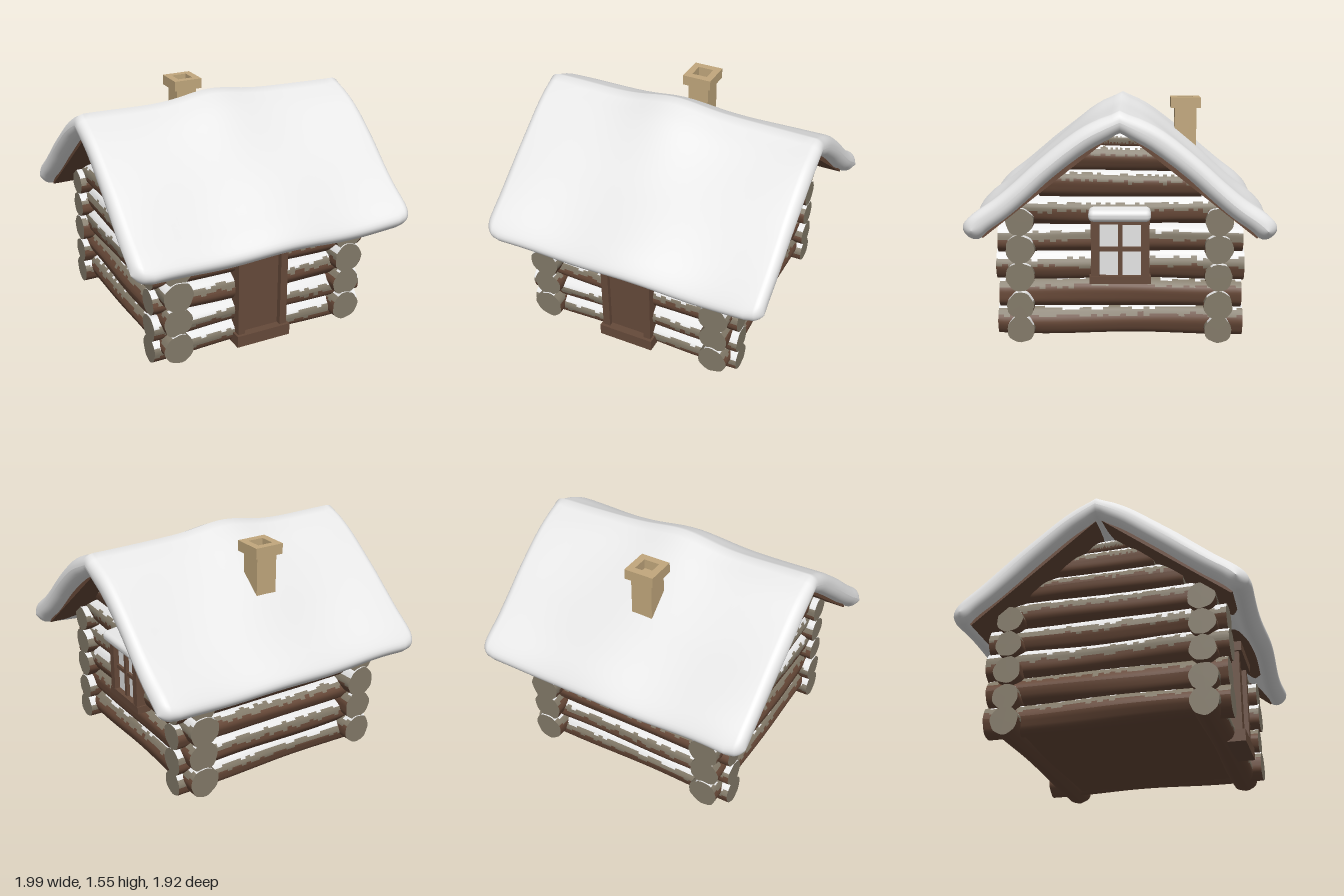
import * as THREE from 'three';
import { RoundedBoxGeometry } from 'three/addons/geometries/RoundedBoxGeometry.js';

const mat = (name, color) => {
  const m = new THREE.MeshStandardMaterial({ color });
  m.name = name;
  return m;
};

let seed = 7;
const rand = () => (seed = (seed * 16807) % 2147483647) / 2147483647;

// Log lying along x: bark below, a ragged weathered band, snow on top
function logGeometry(length, r, shift) {
  const RS = 40, HS = 42;
  const geo = new THREE.CylinderGeometry(r, r, length, RS, HS);
  geo.rotateZ(Math.PI / 2);
  const pos = geo.attributes.position;
  const p1 = rand() * 6, p2 = rand() * 6;
  for (let i = 0; i < pos.count; i++) {
    const x = pos.getX(i), y = pos.getY(i), z = pos.getZ(i);
    const a = Math.atan2(y, z);
    const k = 1 + 0.035 * Math.sin(x * 6 + p1) + 0.03 * Math.sin(3 * a + p2 + x * 2) + 0.02 * Math.sin(7 * a + p1);
    pos.setXYZ(i, x, y * k + 0.006 * Math.sin(x * 4 + p2), z * k);
  }
  geo.computeVertexNormals();

  const index = Array.from(geo.index.array);
  const sets = [[], [], []];
  const jag = Array.from({ length: HS }, () => [(rand() - 0.5) * 0.28, (rand() - 0.5) * 0.2]);
  for (let c = 0; c < RS * HS; c++) {
    const up = Math.sin(((Math.floor(c / HS) + 0.5) / RS) * Math.PI * 2);
    const [a, b] = jag[c % HS];
    const kind = up > 0.42 + shift * 0.75 + b ? 2 : up > -0.1 + shift + a ? 1 : 0;
    sets[kind].push(...index.slice(c * 6, c * 6 + 6));
  }
  sets[1].push(...index.slice(RS * HS * 6)); // sawn ends
  geo.setIndex(sets.flat());
  geo.clearGroups();
  let start = 0;
  sets.forEach((s, i) => { geo.addGroup(start, s.length, i); start += s.length; });
  return geo;
}

// Thick snow blanket: a bent slab with rounded rims, swept along x
function snowRoofGeometry() {
  const half = new THREE.SplineCurve([
    [0, 1.425], [0.12, 1.365], [0.24, 1.29], [0.45, 1.125], [0.58, 1.01], [0.71, 0.9], [0.84, 0.803], [0.925, 0.71],
  ].map(([z, y]) => new THREE.Vector2(z, y)));
  const N = 56, stations = [];
  for (let i = 0; i <= 7; i++) {
    const a = (i / 8) * Math.PI / 2 - Math.PI / 2;
    stations.push([-0.93 + 0.065 * Math.sin(a), Math.cos(a)]);
  }
  for (let i = 0; i <= 36; i++) stations.push([-0.93 + (1.85 * i) / 36, 1]);
  for (let i = 1; i <= 8; i++) {
    const a = (i / 8) * Math.PI / 2;
    stations.push([0.92 + 0.065 * Math.sin(a), Math.cos(a)]);
  }
  const verts = [], idx = [], ring = 2 * N;
  for (const [x, c] of stations) {
    // the eave corners are rounded in plan
    const corner = Math.max(0, (Math.abs(x) - 0.82) / 0.17);
    const reach = 1 - 0.09 * corner ** 3;
    for (let j = 0; j < ring; j++) {
      const top = j <= N;
      const u = Math.sin((top ? j / N - 0.5 : 1.5 - j / N) * Math.PI);
      const au = Math.abs(u), s = Math.sign(u);
      const p = half.getPoint(au * reach), t = half.getTangent(au * reach);
      const e = Math.max(0, (au - 0.92) / 0.08);
      const h = 0.068 * c * Math.sqrt(Math.max(0, 1 - e * e)) * (top ? 1 : -1);
      const apex = au < 0.01;
      let y = p.y + h * (apex ? 1 : t.x);
      let z = s * (p.x - h * t.y * Math.min(1, au * 8));
      // drifted bumps
      if (top) y += 0.05 * c * Math.exp(-(((x + 0.05) / 0.25) ** 2)) * Math.exp(-((z / 0.35) ** 2));
      y += 0.01 * Math.sin(x * 7 + 1) * au + 0.005 * Math.sin(x * 5 + z * 9);
      z += s * 0.008 * Math.cos(x * 6) * au;
      verts.push(x + 0.006 * Math.sin(z * 6) * (1 - c), y, z);
    }
  }
  for (let i = 0; i < stations.length - 1; i++) {
    for (let j = 0; j < ring; j++) {
      const k = (j + 1) % ring, a = i * ring, b = a + ring;
      idx.push(a + j, a + k, b + j, a + k, b + k, b + j);
    }
  }
  const geo = new THREE.BufferGeometry();
  geo.setAttribute('position', new THREE.Float32BufferAttribute(verts, 3));
  geo.setIndex(idx);
  geo.computeVertexNormals();
  return geo;
}

export function createModel() {
  seed = 7;
  const bark = mat('bark brown', 0x694a39);
  const weathered = mat('weathered wood', 0x837a69);
  const snow = mat('snow', 0xeaeaea);
  const trim = mat('trim brown', 0x664a3a);
  const glass = mat('window glass', 0xe4e4e4);
  const stone = mat('chimney tan', 0xc2a87d);
  const model = new THREE.Group();

  const group = (name) => {
    const g = new THREE.Group();
    g.name = name;
    model.add(g);
    return g;
  };
  const add = (parent, name, geo, material) => {
    const m = new THREE.Mesh(geo, material);
    m.name = name;
    parent.add(m);
    return m;
  };
  // Box given by its lower and upper corners
  const box = (parent, name, [x0, y0, z0], [x1, y1, z1], material) => {
    const m = add(parent, name, new THREE.BoxGeometry(x1 - x0, y1 - y0, z1 - z0), material);
    m.position.set((x0 + x1) / 2, (y0 + y1) / 2, (z0 + z1) / 2);
    return m;
  };
  const log = (parent, name, length, r, shift, x, y, z, alongZ) => {
    const m = add(parent, name, logGeometry(length, r, shift), [bark, weathered, snow]);
    m.position.set(x, y, z);
    if (alongZ) m.rotation.y = -Math.PI / 2;
  };

  // Front and back walls
  for (const [name, z, base] of [['frontWall', 0.63, 0], ['backWall', -0.62, 0.25]]) {
    const wall = group(name);
    [0.09, 0.245, 0.42, 0.6, 0.775].forEach((y, i) =>
      log(wall, 'wallLog', 1.54, 0.088, base + (rand() - 0.4) * 0.2 + (i === 2 ? 0.2 : 0), -0.025, y, z, false));
  }

  // Side walls and gables: height, half length, radius, bark shift
  const courses = [
    [0.125, 0.78, 0.1, 0.5], [0.305, 0.77, 0.1, 0.6], [0.49, 0.785, 0.102, 0.05], [0.66, 0.775, 0.098, 0.05],
    [0.84, 0.64, 0.1, 0.15], [1.01, 0.51, 0.098, 0.3], [1.175, 0.32, 0.095, 0.35], [1.285, 0.15, 0.06, -0.1],
  ];
  for (const [name, x] of [['leftWall', 0.6], ['rightWall', -0.65]]) {
    const wall = group(name);
    for (const [y, h, r, shift] of courses)
      log(wall, h > 0.7 ? 'wallLog' : 'gableLog', h * 2, r, shift, x, y, 0, true);
  }

  box(model, 'floor', [-0.64, 0.035, -0.62], [0.6, 0.06, 0.63], bark);

  // Roof: boards beneath a blanket of snow
  const roof = group('roof');
  add(roof, 'roofSnow', snowRoofGeometry(), snow);
  for (const s of [1, -1]) {
    const board = add(roof, 'roofBoard', new THREE.BoxGeometry(1.8, 0.03, 1.07), bark);
    board.position.set(-0.005, 1.052, s * 0.424);
    board.rotation.x = s * Math.atan2(0.68, 0.86);
  }

  // Chimney: solid shaft and a hollow cap
  const chimney = group('chimney');
  box(chimney, 'chimneyShaft', [-0.114, 1.0, -0.512], [0.034, 1.445, -0.364], stone);
  const square = (P, r) => new P([[-r, -r], [r, -r], [r, r], [-r, r]].map(([a, b]) => new THREE.Vector2(a, b)));
  const capShape = square(THREE.Shape, 0.102);
  capShape.holes.push(square(THREE.Path, 0.054));
  const capGeo = new THREE.ExtrudeGeometry(capShape, { depth: 0.07, bevelEnabled: false });
  capGeo.rotateX(-Math.PI / 2);
  add(chimney, 'chimneyCap', capGeo, stone).position.set(-0.04, 1.44, -0.438);

  // Door
  const door = group('door');
  box(door, 'doorPanel', [-0.175, 0.105, 0.64], [0.085, 0.66, 0.735], trim);
  box(door, 'doorPostOuter', [-0.22, 0.09, 0.62], [-0.17, 0.66, 0.765], trim);
  box(door, 'doorPostInner', [0.09, 0.09, 0.62], [0.14, 0.66, 0.765], trim);
  box(door, 'doorStep', [-0.235, 0.02, 0.6], [0.155, 0.1, 0.785], trim);
  box(door, 'doorLintel', [-0.235, 0.65, 0.6], [0.155, 0.715, 0.785], trim);

  // Window on the left wall
  const win = group('window');
  box(win, 'windowGlass', [0.705, 0.42, -0.14], [0.712, 0.78, 0.14], glass);
  box(win, 'windowBacking', [0.6, 0.42, -0.14], [0.704, 0.78, 0.14], trim);
  for (const s of [1, -1])
    box(win, 'windowPost', [0.62, 0.42, s * 0.157 - 0.026], [0.75, 0.8, s * 0.157 + 0.026], trim);
  box(win, 'windowSill', [0.62, 0.385, -0.193], [0.752, 0.435, 0.193], trim);
  box(win, 'windowHead', [0.62, 0.765, -0.185], [0.752, 0.81, 0.185], trim);
  box(win, 'windowMullion', [0.69, 0.42, -0.014], [0.735, 0.78, 0.014], trim);
  box(win, 'windowRail', [0.69, 0.59, -0.14], [0.73, 0.617, 0.14], trim);
  const cap = add(win, 'windowSnow', new RoundedBoxGeometry(0.2, 0.075, 0.39, 4, 0.033), snow);
  cap.position.set(0.7, 0.832, 0.003);
  cap.rotation.z = -0.12;

  return model;
}
